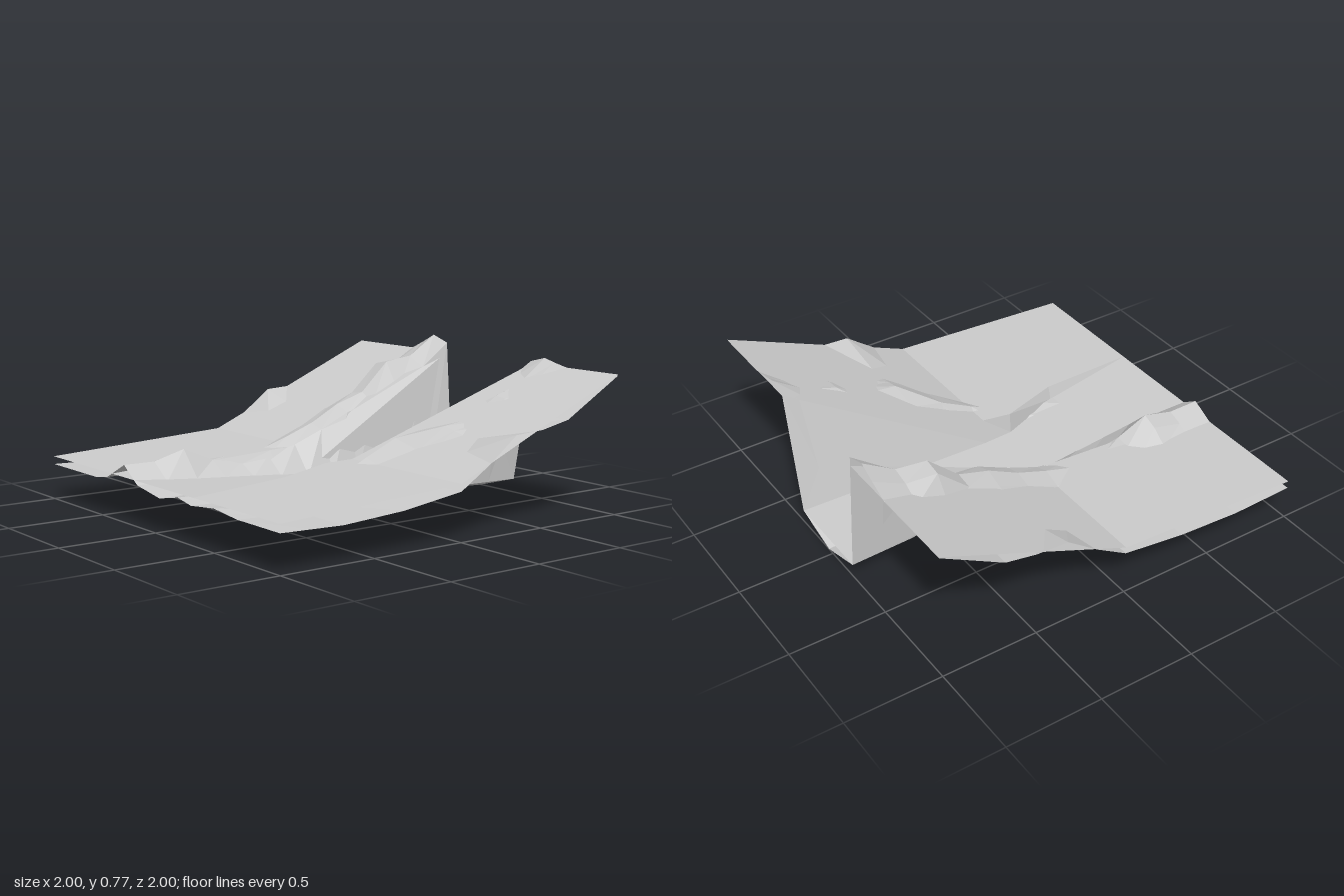
import * as THREE from 'three';

const { lerp, clamp } = THREE.MathUtils;

// Skin a surface over cross-sections { z, points: [[x, y], ...] } running back to front
function loft(name, sections) {
  const positions = [], index = [];
  const n = sections[0].points.length;
  for (const { z, points } of sections) {
    for (const [x, y] of points) positions.push(x, y, z);
  }
  for (let r = 0; r < sections.length - 1; r++) {
    for (let c = 0; c < n - 1; c++) {
      const a = r * n + c, b = a + 1, d = a + n, e = d + 1;
      if (c < n / 2) index.push(a, d, e, a, e, b);
      else index.push(a, d, b, b, d, e);
    }
  }
  const geometry = new THREE.BufferGeometry();
  geometry.setAttribute('position', new THREE.Float32BufferAttribute(positions, 3));
  geometry.setIndex(index);
  geometry.computeVertexNormals();
  const material = new THREE.MeshStandardMaterial({
    color: 0xcccccc, flatShading: true, side: THREE.DoubleSide,
  });
  const mesh = new THREE.Mesh(geometry, material);
  mesh.name = name;
  return mesh;
}

// Straight-line interpolation through evenly spaced values from z = -1 to z = 1
function along(values, z) {
  const t = (z + 1) / 2 * (values.length - 1);
  const i = Math.min(Math.floor(t), values.length - 2);
  return lerp(values[i], values[i + 1], t - i);
}

// Plain ground: flat banks creased at z = 0, with straight canyon walls and floor
function plainSection([z, lipL, footL, footR, lipR, floor]) {
  const top = z < 0 ? 0.27 - 0.42 * z : 0.27 - 0.05 * z;
  return {
    z,
    points: [[-1, top], [lipL, top], [footL, floor], [footR, floor], [lipR, top], [1, top]],
  };
}

// Rocks and ridges on the banks: x, z, half width, half length, height
const rocks = [
  [-0.34, -1, 0.2, 0.3, 0.1],
  [-0.4, -0.67, 0.13, 0.22, 0.22],
  [-0.36, -0.33, 0.16, 0.25, 0.06],
  [-0.36, 0, 0.2, 0.3, 0.07],
  [-0.36, 0.33, 0.18, 0.2, 0.06],
  [-0.3, 0.67, 0.22, 0.3, 0.17],
  [-0.28, 1, 0.2, 0.25, 0.1],
  [0.5, -1, 0.16, 0.3, 0.04],
  [0.53, -0.67, 0.12, 0.17, 0.08],
  [0.5, -0.33, 0.22, 0.25, 0.05],
  [0.32, -0.08, 0.2, 0.25, 0.09],
  [0.5, 0.33, 0.2, 0.25, 0.04],
  [0.54, 0.67, 0.12, 0.2, 0.08],
  [0.5, 1, 0.2, 0.2, 0.02],
  [-1, -0.33, 0.24, 0.25, 0.07],
  [1, -0.33, 0.2, 0.25, 0.07],
];

function bankHeight(x, z) {
  let y = along([0.685, 0.5, 0.39, 0.235, 0.19, 0.17, 0.18], z);
  for (const [rx, rz, w, l, h] of rocks) {
    y += h * Math.max(0, 1 - Math.abs(x - rx) / w) * Math.max(0, 1 - Math.abs(z - rz) / l);
  }
  return y;
}

// Rocky ground: uneven banks and a V-shaped stream bed
function rockySection(z) {
  const onBank = (x) => [x, bankHeight(x, z)];
  const back = clamp(-z, 0, 1);
  const foot = along([0.07, 0.07, 0.1, 0.13, 0.165, 0.195, 0.2], z);
  const bed = along([0, 0.015, 0.03, 0.05, 0.105, 0.17, 0.17], z);
  return {
    z,
    points: [
      ...[-1, -0.75, -0.55, -0.45, -0.36, lerp(-0.28, -0.25, back)].map(onBank),
      [lerp(-0.16, -0.2, back), foot],
      [0.04, bed],
      [lerp(0.2, 0.29, back), foot],
      ...[lerp(0.31, 0.4, back), 0.5, 0.57, 0.68, 1].map(onBank),
    ],
  };
}

export function createModel() {
  const group = new THREE.Group();
  group.name = 'canyonTerrain';

  // Each row: z, left lip, left foot, right foot, right lip, floor height
  const plainRows = [
    [-1, -0.25, -0.2, 0.29, 0.41, 0.07],
    [0, -0.28, -0.2, 0.18, 0.2, 0.14],
    [0.15, -0.285, -0.21, 0.17, 0.18, 0.155],
    [0.47, -0.29, -0.25, 0.27, 0.29, 0.18],
    [1, -0.33, -0.2, 0.33, 0.41, 0.22],
  ];
  group.add(loft('plainGround', plainRows.map(plainSection)));

  const rockyRows = Array.from({ length: 13 }, (_, i) => rockySection(-1 + i / 6));
  group.add(loft('rockyGround', rockyRows));

  return group;
}
